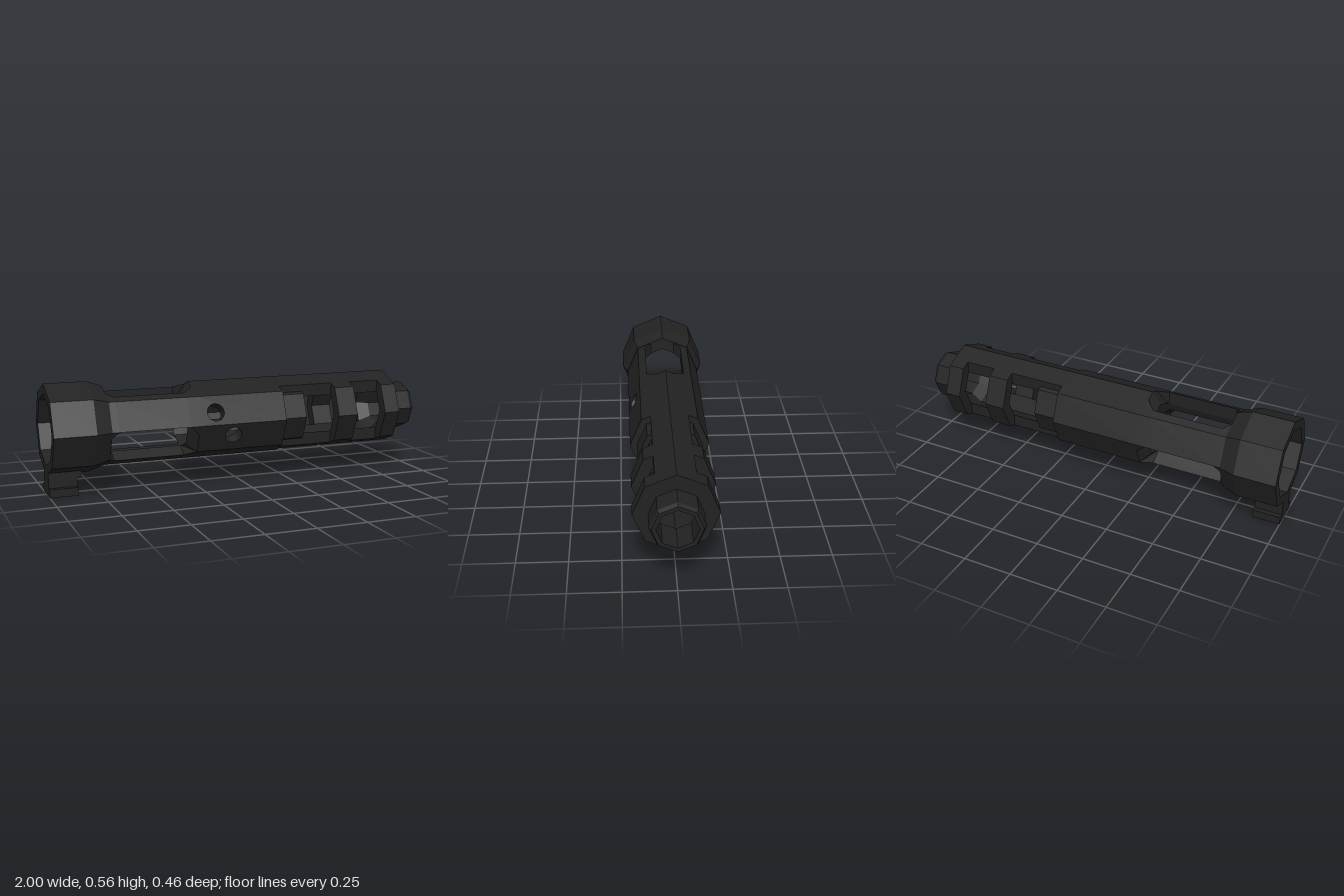
import * as THREE from 'three';

const CY = 0.326;                    // height of the tube axis
const R = 0.2, BORE = 0.137;         // main outer and inner octagon radii
const RAD = Math.PI / 180;
const COS = Math.cos(22.5 * RAD);
const metal = new THREE.MeshStandardMaterial({ color: 0x222222 });
metal.name = 'blackMetal';
metal.flatShading = true;

// Octagon helpers. Angles run from the top (+y) towards +z; points are [y, z].
const normals = Array.from({ length: 8 }, (_, k) => (k * 45 + 22.5) * RAD)
  .map(a => [Math.cos(a), Math.sin(a)]);
const octRadius = (y, z) => Math.max(...normals.map(n => n[0] * y + n[1] * z)) / COS;
function octPoint(deg, r) {
  const a = deg * RAD, s = r / octRadius(Math.cos(a), Math.sin(a));
  return [Math.cos(a) * s, Math.sin(a) * s];
}
// Angle where a slot wall, offset w from the slot's centre line, meets the octagon
function wallAngle(centre, w, r) {
  const c = Math.cos(centre * RAD), s = Math.sin(centre * RAD);
  let d = Infinity;
  for (const [ny, nz] of normals) {
    const f = c * ny + s * nz;
    if (f > 1e-6) d = Math.min(d, (r * COS - w * (-s * ny + c * nz)) / f);
  }
  return centre + Math.atan2(w, d) / RAD;
}

// A section is a list of [outer, inner] points at one x (the inner x may differ)
const section = (x, pairs, xi = x) => pairs.map(([o, i]) => [[x, ...o], [xi, ...i]]);

// Skin a thick shell through the sections
function shell(name, sections, closed) {
  const pos = [];
  const tri = (...t) => {
    const [a, b, c] = t.map(p => new THREE.Vector3(...p));
    if (b.clone().sub(a).cross(c.clone().sub(a)).length() < 1e-9) return;
    for (const p of t) pos.push(...p);
  };
  const quad = (a, b, c, d) => { tri(a, b, c); tri(a, c, d); };
  const n = sections[0].length, last = sections[sections.length - 1];
  const count = closed ? n : n - 1;
  for (let s = 0; s + 1 < sections.length; s++) {
    const p = sections[s], q = sections[s + 1];
    for (let j = 0; j < count; j++) {
      const k = (j + 1) % n;
      quad(p[j][0], p[k][0], q[k][0], q[j][0]);
      quad(p[j][1], q[j][1], q[k][1], p[k][1]);
    }
    if (!closed) {
      quad(p[0][0], q[0][0], q[0][1], p[0][1]);
      quad(p[n - 1][0], p[n - 1][1], q[n - 1][1], q[n - 1][0]);
    }
  }
  for (let j = 0; j < count; j++) {
    const k = (j + 1) % n, p = sections[0];
    quad(p[j][0], p[j][1], p[k][1], p[k][0]);
    quad(last[j][0], last[k][0], last[k][1], last[j][1]);
  }
  const g = new THREE.BufferGeometry();
  g.setAttribute('position', new THREE.Float32BufferAttribute(pos, 3));
  g.computeVertexNormals();
  const m = new THREE.Mesh(g, metal);
  m.name = name;
  m.position.y = CY;
  return m;
}

const arc = (from, to, ro, ri) => {
  const out = [];
  for (let a = from; a <= to; a += 45) out.push([octPoint(a, ro), octPoint(a, ri)]);
  return out;
};
const ring = (x, ro, ri, xi) => section(x, arc(0, 315, ro, ri), xi);

// Strip of wall between two neighbouring slots of half-width w
function strip(x, start, w) {
  const side = r => {
    const a0 = wallAngle(start, w, r), a1 = wallAngle(start + 120, -w, r), out = [a0];
    for (let a = 0; a < 360; a += 45)
      if (a > start && a < start + 120) out.push(Math.min(a1, Math.max(a0, a)));
    out.push(a1);
    return out.map(a => octPoint(a, r));
  };
  const o = side(R), i = side(BORE);
  return section(x, o.map((p, k) => [p, i[k]]));
}

// Half outline (z >= 0, top to bottom) mirrored into a full ring around the bore
function mirrored(half) {
  const back = half.slice(1, -1).reverse().map(([y, z]) => [y, -z]);
  return [...half, ...back];
}
const around = (outline, r) => outline.map(([y, z]) => {
  const s = r / octRadius(y, z);
  return [[y, z], [y * s, z * s]];
});

const T = Math.SQRT1_2, TAN = Math.tan(22.5 * RAD);
const BAR = 0.095, GROOVE = 0.043, FLOOR = -0.162;
const yAt = (r, z) => r - Math.abs(z) * TAN;
// Underside from the groove wall to the centre line; cut = 0 gives the plain octagon
const under = cut => [
  [-yAt(R, GROOVE), GROOVE],
  [cut ? FLOOR : -yAt(R, GROOVE), GROOVE],
  [cut ? FLOOR : -R, 0]];
const fullOutline = () => mirrored([[R, 0], [R * T, R * T], [0, R], [-R * T, R * T], ...under(1)]);
const stepOutline = cut => {
  const r = 0.165;
  return mirrored([[R, 0], [yAt(R, BAR), BAR], [yAt(r, BAR), BAR], [r * T, r * T], [0, r],
    [-r * T, r * T], [-yAt(r, BAR), BAR], [-yAt(R, BAR), BAR], ...under(cut)]);
};

export function createModel() {
  const model = new THREE.Group();
  model.name = 'barrelShroud';
  const add = (...a) => model.add(shell(...a));

  // Rear collar with a wide mouth
  add('rearCollar', [ring(-1, 0.229, 0.18), ring(-0.79, 0.229, 0.18), ring(-0.71, 0.203, BORE)], true);

  // Three wall strips between the long slots, with chamfered slot corners
  for (const start of [0, 120, 240])
    add('slotStrip', [[-0.71, 0.065], [-0.675, 0.1], [-0.31, 0.1], [-0.26, 0.05]]
      .map(([x, w]) => strip(x, start, w)), false);
  // Sloping end of the slots
  add('slotEnd', [ring(-0.26, R, BORE, -0.305), ring(-0.255, R, BORE)], true);

  // Middle tube; its two front faces are plates with a round hole each
  const rest = arc(135, 405, R, BORE);
  add('middleTube', [section(-0.26, rest), section(0.21, rest)], false);
  const halfWidth = R * Math.sin(22.5 * RAD);
  for (const [deg, x, v] of [[67.5, -0.17, -0.01], [112.5, -0.075, 0.01]]) {
    const s = new THREE.Shape([[-0.26, -halfWidth], [0.21, -halfWidth], [0.21, halfWidth], [-0.26, halfWidth]]
      .map(p => new THREE.Vector2(...p)));
    s.holes.push(new THREE.Path().absarc(x, v, 0.045, 0, Math.PI * 2, true));
    const g = new THREE.ExtrudeGeometry(s, { depth: (R - BORE) * COS, bevelEnabled: false, curveSegments: 10 });
    const plate = new THREE.Mesh(g, metal);
    plate.name = 'drilledFace';
    const a = deg * RAD, d = BORE * COS;
    plate.rotation.x = a - Math.PI / 2;
    plate.position.set(0, CY + Math.cos(a) * d, Math.sin(a) * d);
    model.add(plate);
  }

  // Stepped neck, where the bottom groove begins with a ramp
  add('steppedNeck', [[0.21, 0], [0.23, 0], [0.3, 1], [0.34, 1]]
    .map(([x, cut]) => section(x, around(stepOutline(cut), BORE))), true);

  // Top and bottom bars across the side vents
  const inner = (p, sign) => [p, [sign * yAt(BORE, p[1]), p[1]]];
  const flip = ([y, z]) => [y, -z];
  const topBar = [[yAt(R, BAR), -BAR], [R, 0], [yAt(R, BAR), BAR]].map(p => inner(p, 1));
  const half = [[-yAt(R, BAR), BAR], ...under(1)];
  const bottomBar = [...half, ...half.slice(0, -1).reverse().map(flip)].map(p => inner(p, -1));
  for (const [a, b] of [[0.34, 0.51], [0.62, 0.785]]) {
    add('topBar', [section(a, topBar), section(b, topBar)], false);
    add('bottomBar', [section(a, bottomBar), section(b, bottomBar)], false);
  }

  // Rings between and after the vents
  const full = r => around(fullOutline(), r);
  add('middleRing', [section(0.51, full(BORE)), section(0.62, full(BORE))], true);
  add('frontRing', [section(0.785, full(BORE)), section(0.84, full(0.097)), section(0.87, full(0.097))], true);

  // Nozzle
  add('nozzle', [ring(0.87, 0.128, 0.097), ring(0.98, 0.128, 0.097), ring(1, 0.117, 0.097)], true);

  // T-shaped lug under the collar
  const prism = (name, pts, width) => {
    const s = new THREE.Shape(pts.map(p => new THREE.Vector2(...p)));
    const g = new THREE.ExtrudeGeometry(s, { depth: width, bevelEnabled: false });
    g.translate(0, 0, -width / 2);
    const m = new THREE.Mesh(g, metal);
    m.name = name;
    model.add(m);
  };
  prism('lugStem', [[-1, 0], [-0.857, 0], [-0.857, 0.08], [-0.835, 0.1], [-0.835, 0.122], [-1, 0.122]], 0.105);
  prism('lugFoot', [[-1, 0], [-0.857, 0], [-0.857, 0.041], [-1, 0.041]], 0.157);
  return model;
}
